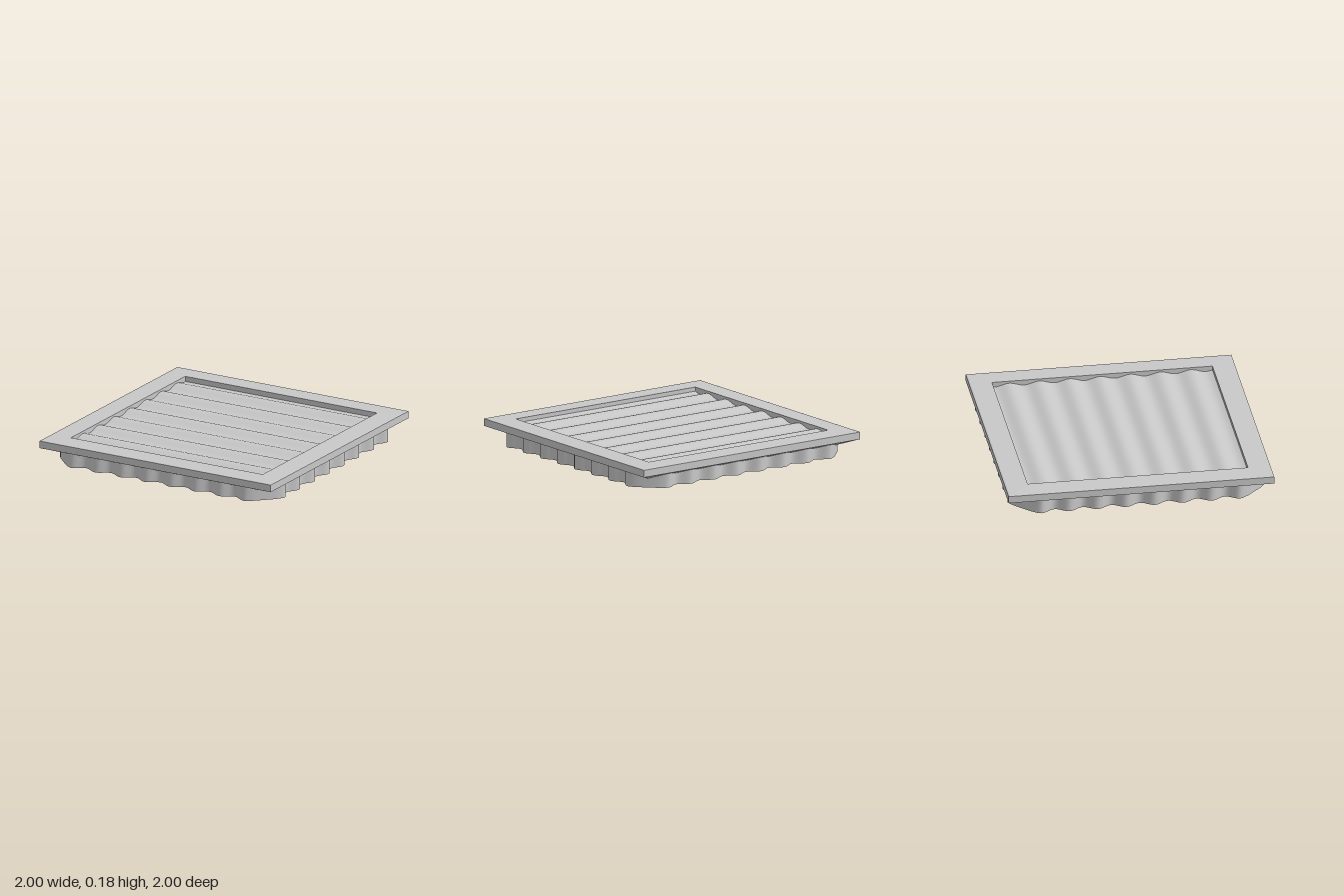
import * as THREE from 'three';
import { toCreasedNormals } from 'three/addons/utils/BufferGeometryUtils.js';

const OPENING = 0.83; // half width of the frame opening

// Square frame: a cross-section swept around four mitred corners
function frameGeometry() {
  const section = [
    [1, 0.12], [1, 0.175], [0.99, 0.178], [OPENING, 0.181], [OPENING, 0.052], [1, 0.12],
  ].map(([r, y]) => new THREE.Vector2(r * Math.SQRT2, y));
  const geometry = new THREE.LatheGeometry(section, 4, Math.PI / 4).toNonIndexed();
  geometry.computeVertexNormals();
  return geometry;
}

// Closed wavy outline: four rippled sides joined by cut-off corners
function wavyOutline(inset) {
  const period = 0.214, end = 3.5 * period, steps = 84;
  const scale = 1 - inset / 0.945;
  const origin = new THREE.Vector2();
  const points = [];
  for (let side = 0; side < 4; side++) {
    const add = (u, v) => points.push(
      new THREE.Vector2(u, v).multiplyScalar(scale).rotateAround(origin, side * Math.PI / 2));
    for (let i = 0; i <= steps; i++) {
      const u = end - (2 * end * i) / steps;
      add(u, 0.945 - 0.025 * Math.cos((2 * Math.PI * u) / period));
    }
    add(-0.775, 0.959);
    add(-0.82, 0.925);
    add(-0.872, 0.872);
    add(-0.925, 0.82);
    add(-0.959, 0.775);
  }
  return points;
}

// Upright rippled sheet from the ground up into the frame
function skirtGeometry(inset, top) {
  const outline = wavyOutline(inset);
  const positions = [];
  outline.forEach((a, i) => {
    const b = outline[(i + 1) % outline.length];
    positions.push(a.x, 0, -a.y, b.x, 0, -b.y, b.x, top, -b.y);
    positions.push(a.x, 0, -a.y, b.x, top, -b.y, a.x, top, -a.y);
  });
  const geometry = new THREE.BufferGeometry();
  geometry.setAttribute('position', new THREE.Float32BufferAttribute(positions, 3));
  geometry.computeVertexNormals();
  return toCreasedNormals(geometry, 0.7);
}

// Corrugated sheet with ridges running along x
function panelGeometry() {
  const geometry = new THREE.BoxGeometry(2 * OPENING, 0.012, 2 * OPENING, 1, 1, 120);
  const p = geometry.attributes.position;
  for (let i = 0; i < p.count; i++) {
    const wave = Math.cos((2 * Math.PI * (p.getZ(i) + 0.017)) / 0.228);
    p.setY(i, p.getY(i) + 0.146 + 0.012 * wave);
  }
  return toCreasedNormals(geometry, 0.7);
}

export function createModel() {
  const grey = new THREE.MeshStandardMaterial({ color: 0xc8c8c8, side: THREE.DoubleSide });
  grey.name = 'plain grey';
  const model = new THREE.Group();
  model.name = 'corrugatedCover';
  const parts = {
    frame: frameGeometry(),
    outerSkirt: skirtGeometry(0, 0.115),
    innerSkirt: skirtGeometry(0.04, 0.1),
    corrugatedPanel: panelGeometry(),
  };
  for (const [name, geometry] of Object.entries(parts)) {
    const mesh = new THREE.Mesh(geometry, grey);
    mesh.name = name;
    model.add(mesh);
  }
  return model;
}
